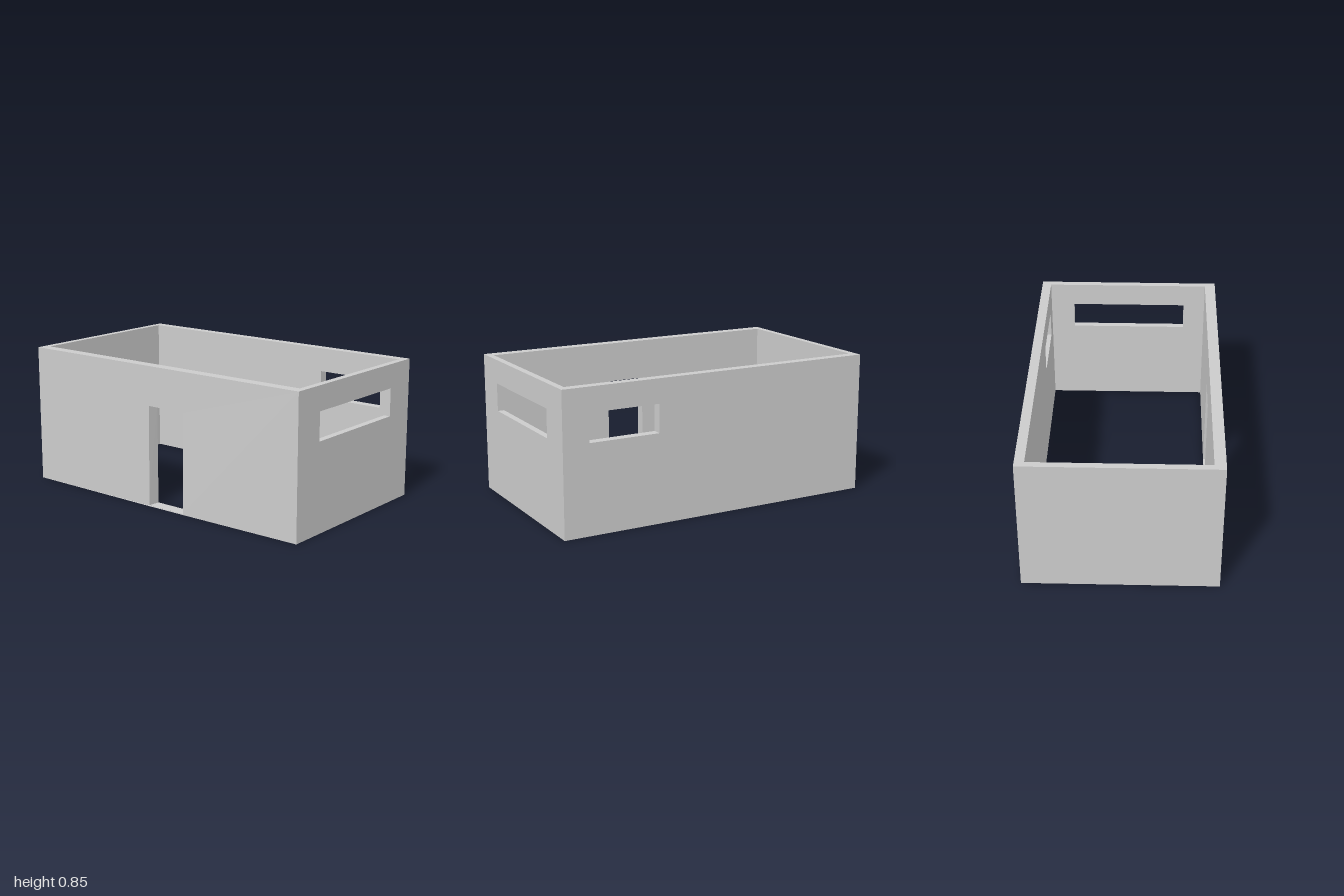
import * as THREE from 'three';

const H = 0.853; // wall height
const FRONT = 0.568, BACK = -0.577; // outer faces along z
const FRONT_IN = 0.502, BACK_IN = -0.52; // inner faces along z
const SIDE = 0.04; // side wall thickness
const WIN_Y = [0.537, 0.707];

const points = (list) => list.map(([x, y]) => new THREE.Vector2(x, y));
const rect = (a0, a1, b0, b1) => points([[a0, b0], [a1, b0], [a1, b1], [a0, b1]]);

// Extrudes an upright wall outline with an optional rectangular opening
function wallGeometry(outline, opening, depth) {
  const shape = new THREE.Shape(outline);
  if (opening) shape.holes.push(new THREE.Path(opening));
  return new THREE.ExtrudeGeometry(shape, { depth, bevelEnabled: false });
}

export function createModel() {
  const group = new THREE.Group();
  const material = new THREE.MeshStandardMaterial({ color: 0xcccccc, flatShading: true });
  const add = (name, geometry) => {
    const mesh = new THREE.Mesh(geometry, material);
    mesh.name = name;
    group.add(mesh);
    return mesh;
  };

  // Front wall with a doorway and a very low sill
  const [d0, d1, doorTop] = [-0.068, 0.195, 0.614];
  const front = wallGeometry(
    points([[-1, 0], [d0, 0], [d1, 0], [1, 0], [1, H], [-1, H]]),
    rect(d0, d1, 0.006, doorTop),
    FRONT - FRONT_IN
  );
  // The doorway narrows inward, and its foot stands slightly proud outside
  const p = front.attributes.position;
  for (let i = 0; i < p.count; i++) {
    const x = p.getX(i), y = p.getY(i);
    if (Math.abs(x) > 0.9) continue;
    if (p.getZ(i) > 0.01) {
      if (y < 0.1) p.setZ(i, p.getZ(i) + 0.009);
    } else {
      p.setX(i, x < 0 ? -0.062 : 0.185);
      if (y > 0.1) p.setY(i, 0.606);
    }
  }
  front.computeVertexNormals();
  add('frontWall', front).position.z = FRONT_IN;

  // Back wall with a short high window
  const back = wallGeometry(rect(-1, 1, 0, H), rect(0.403, 0.838, ...WIN_Y), BACK_IN - BACK);
  add('backWall', back).position.z = BACK;

  // Side walls between them; only the left one has a long window
  for (const [name, x, opening] of [
    ['leftWall', 1, rect(-0.37, 0.365, ...WIN_Y)],
    ['rightWall', -1 + SIDE, null],
  ]) {
    const wall = add(name, wallGeometry(rect(BACK_IN, FRONT_IN, 0, H), opening, SIDE));
    wall.rotation.y = -Math.PI / 2;
    wall.position.x = x;
  }

  return group;
}
